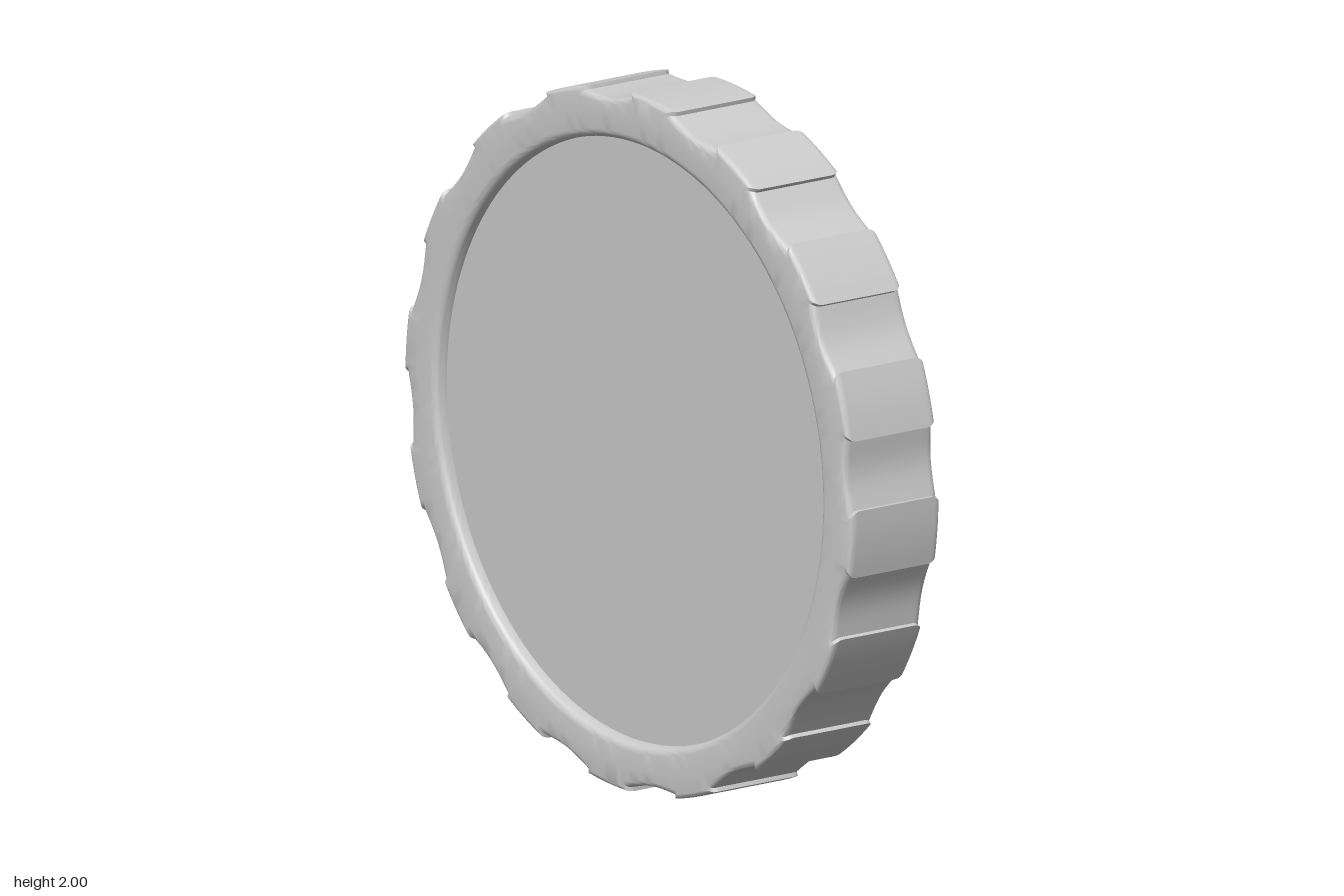
import * as THREE from 'three';
import { toCreasedNormals } from 'three/addons/utils/BufferGeometryUtils.js';

const GRIPS = 16;            // raised grip panels around the edge
const HALF = 0.157;          // half thickness
const FLOOR = 0.117;         // height of the recessed faces
const INNER = 0.857;         // radius of the recessed faces
const PITCH = (Math.PI * 2) / GRIPS;
const PANEL_STEPS = 5, DIP_STEPS = 8;

// How far a rounded edge of radius f is pulled in at distance t from the face
const roundOff = (t, f) => (t >= f ? 0 : f - Math.sqrt(f * f - (f - t) * (f - t)));

// One ring of the outer edge, as [angle, radius] pairs; t = distance from the face
function outerRing(t) {
  const ring = [];
  const inset = roundOff(t, 0.03);
  const fillet = roundOff(t, 0.014);
  for (let i = 0; i < GRIPS; i++) {
    const a0 = i * PITCH + inset;
    const a1 = (i + 0.5) * PITCH - inset;
    const a2 = (i + 1) * PITCH + inset;
    // raised panel
    for (let k = 0; k <= PANEL_STEPS; k++) {
      ring.push([a0 + ((a1 - a0) * k) / PANEL_STEPS, 1 - fillet]);
    }
    // shallow scoop between panels
    for (let k = 0; k <= DIP_STEPS; k++) {
      const u = k / DIP_STEPS;
      ring.push([a1 + (a2 - a1) * u, 0.988 - 0.018 * Math.sin(Math.PI * u) - fillet]);
    }
  }
  return ring;
}

function rimGeometry() {
  // Front half of the cross-section, from the recess outwards
  const rows = [];
  const plain = outerRing(0);
  const circle = (r, z) => rows.push({ z, ring: plain.map(([a]) => [a, r]) });
  circle(INNER, FLOOR);
  circle(INNER, HALF - 0.025);
  for (let k = 1; k <= 5; k++) {
    const q = (k / 5) * Math.PI / 2;
    circle(INNER + 0.025 * (1 - Math.cos(q)), HALF - 0.025 + 0.025 * Math.sin(q));
  }
  circle(0.93, HALF);
  for (const t of [0, 0.001, 0.004, 0.008, 0.014, 0.021, 0.03]) {
    rows.push({ z: HALF - t, ring: outerRing(t) });
  }
  // Mirror to the back
  const all = rows.concat(rows.slice().reverse().map(({ z, ring }) => ({ z: -z, ring })));

  const n = plain.length;
  const pos = [], index = [];
  for (const { z, ring } of all) {
    for (const [a, r] of ring) pos.push(r * Math.sin(a), r * Math.cos(a), z);
  }
  for (let j = 0; j < all.length - 1; j++) {
    for (let i = 0; i < n; i++) {
      const p = j * n + i, q = j * n + ((i + 1) % n);
      index.push(p, q, p + n, q, q + n, p + n);
    }
  }
  const geo = new THREE.BufferGeometry();
  geo.setAttribute('position', new THREE.Float32BufferAttribute(pos, 3));
  geo.setIndex(index);
  return toCreasedNormals(geo, 0.6);
}

export function createModel() {
  const group = new THREE.Group();
  group.name = 'grippedDisc';
  const material = new THREE.MeshStandardMaterial({ color: 0xcccccc });

  // Raised rim with gripped outer edge
  const rim = new THREE.Mesh(rimGeometry(), material);
  rim.name = 'grippedRim';
  rim.position.y = 1;
  group.add(rim);

  // Recessed flat faces, front and back
  const disc = new THREE.Mesh(new THREE.CylinderGeometry(INNER + 0.004, INNER + 0.004, FLOOR * 2, 128), material);
  disc.name = 'recessedFaces';
  disc.rotation.x = Math.PI / 2;
  disc.position.y = 1;
  group.add(disc);

  return group;
}
